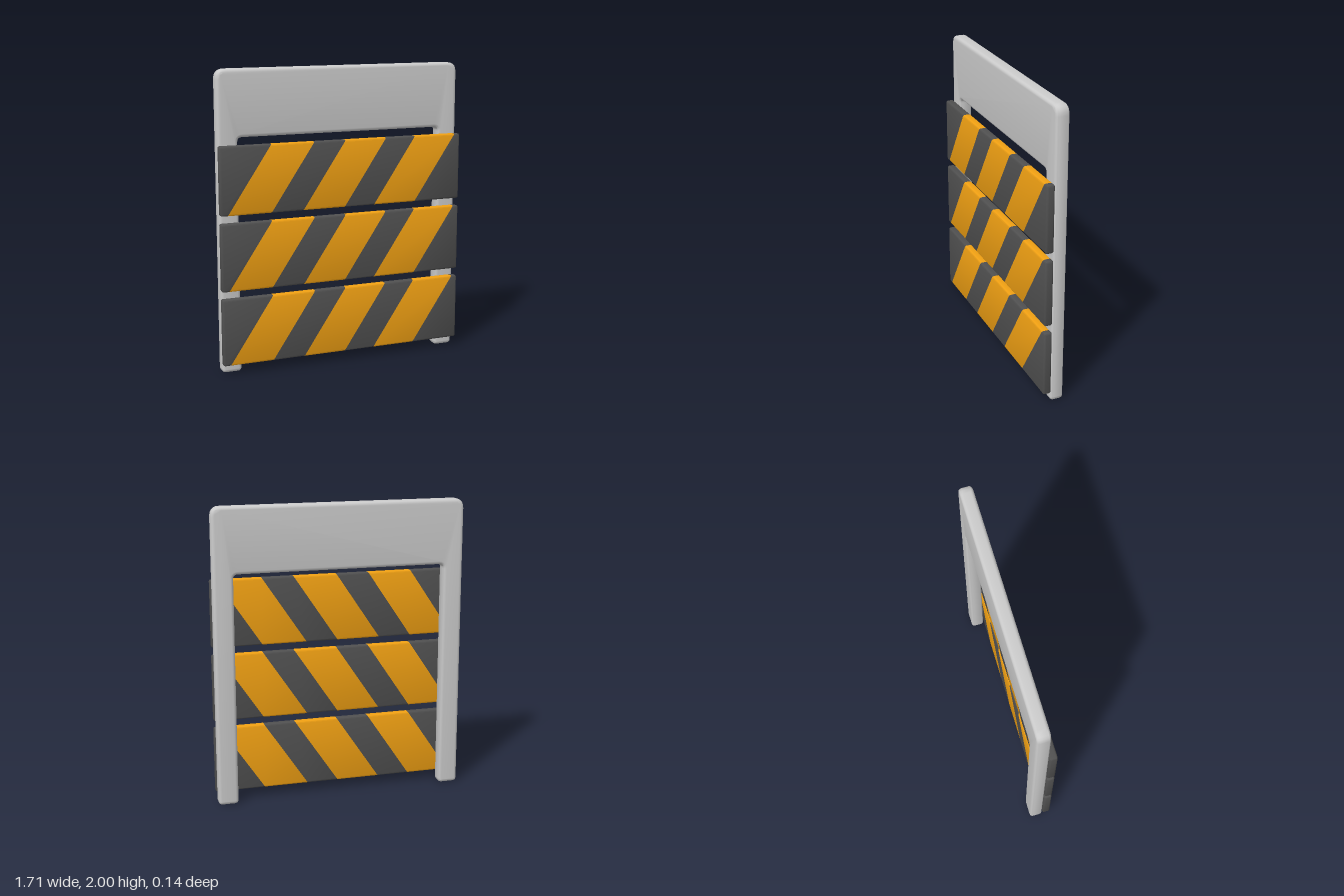
import * as THREE from 'three';
import { toCreasedNormals } from 'three/addons/utils/BufferGeometryUtils.js';

const BACK = -0.072, MID = 0.018, FRONT = 0.072; // frame back, frame/board contact, board front
const HALF = 0.853, BOARD_H = 0.45, SLANT = 0.3, EDGE = 0.012;

const grey = new THREE.MeshStandardMaterial({ color: 0xcccccc });
const dark = new THREE.MeshStandardMaterial({ color: 0x505050 });
const orange = new THREE.MeshStandardMaterial({ color: 0xf0a013 });

// Outline with each corner [x, y, radius] rounded off
function roundedShape(corners) {
  const shape = new THREE.Shape();
  const n = corners.length;
  corners.forEach(([x, y, r], i) => {
    const p = new THREE.Vector2(x, y);
    const toward = ([qx, qy]) => new THREE.Vector2(qx, qy).sub(p).setLength(r).add(p);
    const a = toward(corners[(i + n - 1) % n]);
    const b = toward(corners[(i + 1) % n]);
    if (i === 0) shape.moveTo(a.x, a.y); else shape.lineTo(a.x, a.y);
    shape.quadraticCurveTo(x, y, b.x, b.y);
  });
  shape.closePath();
  return shape;
}

// Upside-down U: two legs joined by a tall top panel
function makeFrame() {
  const o = 0.848, i = 0.713, top = 2, under = 1.563, b = 0.022;
  const shape = roundedShape([
    [-o, 0, 0.028], [-i, 0, 0.028], [-i, under, 0.03], [i, under, 0.03],
    [i, 0, 0.028], [o, 0, 0.028], [o, top, 0.065], [-o, top, 0.065],
  ]);
  const geo = new THREE.ExtrudeGeometry(shape, {
    depth: MID - BACK - 2 * b, curveSegments: 5,
    bevelEnabled: true, bevelThickness: b, bevelSize: b, bevelOffset: -b, bevelSegments: 4,
  });
  geo.translate(0, 0, BACK + b);
  const mesh = new THREE.Mesh(toCreasedNormals(geo, 0.7), grey);
  mesh.name = 'frame';
  return mesh;
}

// Rounded board cross-section as [y, z] points, shrunk by an inset
function section(inset) {
  const pts = [];
  const cy = BOARD_H / 2 - EDGE, cz = (FRONT - MID) / 2 - EDGE;
  for (let q = 0; q < 4; q++) {
    const sy = q === 0 || q === 3 ? 1 : -1, sz = q < 2 ? 1 : -1;
    for (let k = 0; k <= 3; k++) {
      const a = (q + k / 3) * Math.PI / 2, r = EDGE - inset;
      pts.push([sy * cy + r * Math.cos(a), sz * cz + r * Math.sin(a)]);
    }
  }
  return pts;
}

// Loft of cross-sections along x; a station is { x, slant, inset }
function loft(stations) {
  const pos = [], idx = [];
  const n = section(0).length;
  for (const { x, slant = 0, inset = 0 } of stations) {
    for (const [y, z] of section(inset)) pos.push(x + slant * (y / BOARD_H + 0.5), y, z);
  }
  const last = (stations.length - 1) * n;
  for (let j = 0; j < n; j++) {
    const k = (j + 1) % n;
    for (let s = 0; s < last; s += n) {
      idx.push(s + j, s + k, s + n + j, s + k, s + n + k, s + n + j);
    }
    // End caps
    if (j > 0 && j < n - 1) idx.push(0, k, j, last, last + j, last + k);
  }
  const geo = new THREE.BufferGeometry();
  geo.setAttribute('position', new THREE.Float32BufferAttribute(pos, 3));
  geo.setIndex(idx);
  return toCreasedNormals(geo, 0.7);
}

// Rounded board end, ordered from the tip inward
function endStations(side) {
  return [0, 1, 2, 3].map((k) => {
    const a = (k / 3) * Math.PI / 2;
    return { x: side * (HALF - EDGE * (1 - Math.sin(a))), inset: EDGE * (1 - Math.cos(a)) };
  }).reverse();
}

// One board, split into slanted dark and orange stripes
function makeBoard(geometries) {
  const board = new THREE.Group();
  geometries.forEach((geo, i) => {
    const mesh = new THREE.Mesh(geo, i % 2 ? orange : dark);
    mesh.name = i % 2 ? 'orangeStripe' : 'darkStripe';
    board.add(mesh);
  });
  return board;
}

export function createModel() {
  const model = new THREE.Group();
  model.name = 'barricade';
  model.add(makeFrame());

  // Stripe boundaries, measured along the lower edge of a board
  const cuts = [-0.808, -0.512, -0.292, 0, 0.213, 0.513].map((x) => ({ x, slant: SLANT }));
  const stripes = [loft([...endStations(-1), cuts[0]])];
  for (let i = 0; i < cuts.length - 1; i++) stripes.push(loft([cuts[i], cuts[i + 1]]));
  stripes.push(loft([cuts[cuts.length - 1], ...endStations(1).reverse()]));

  ['lowerBoard', 'middleBoard', 'upperBoard'].forEach((name, i) => {
    const board = makeBoard(stripes);
    board.name = name;
    board.position.set(0, 0.289 + i * 0.502, (MID + FRONT) / 2);
    model.add(board);
  });
  return model;
}
